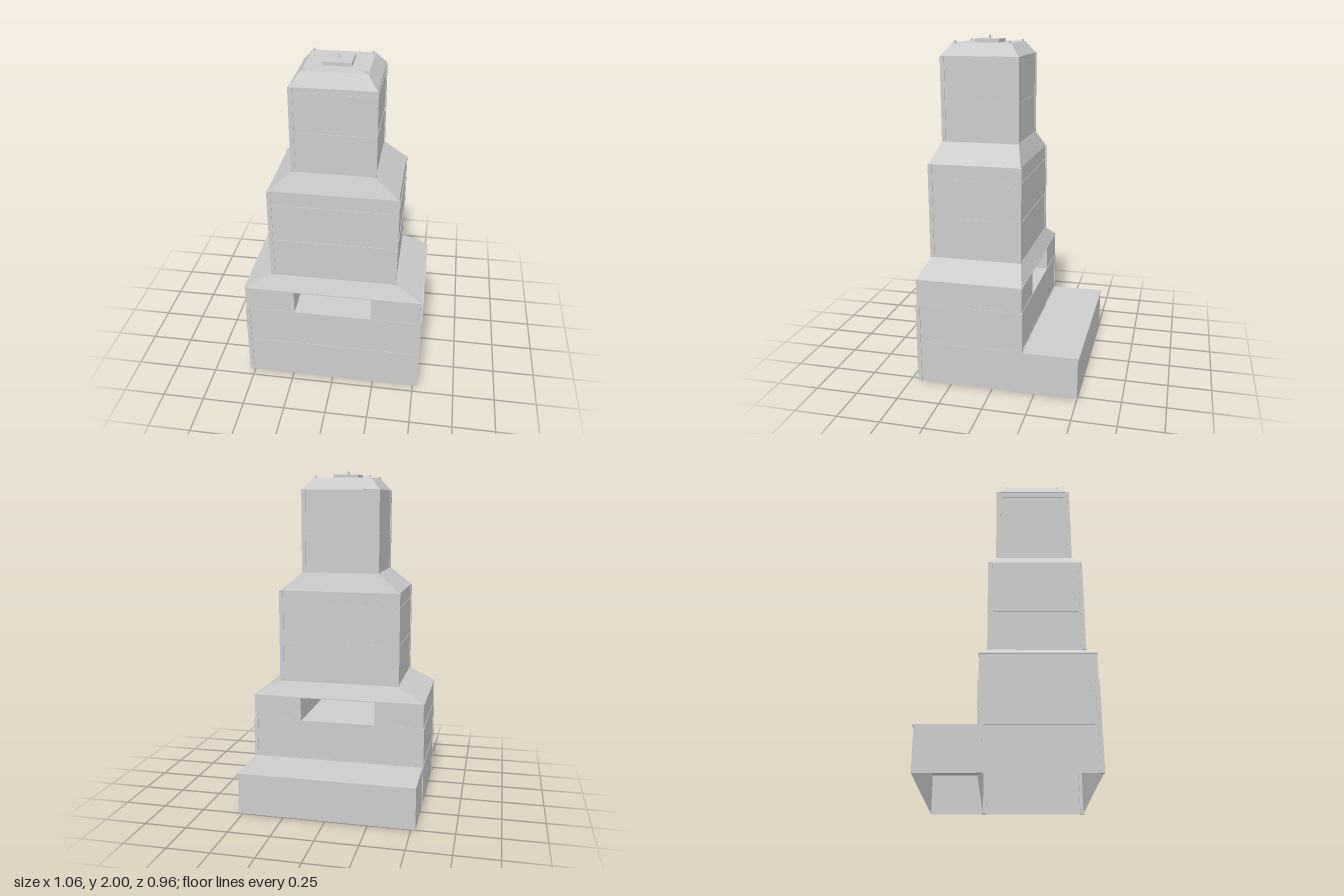
import * as THREE from 'three';

const CZ = 0.1375; // z of the tower axis

export function createModel() {
  const model = new THREE.Group();
  model.name = 'steppedTower';
  const grey = new THREE.MeshStandardMaterial({ color: 0xcccccc, side: THREE.DoubleSide });
  grey.name = 'paleGrey';

  const add = (name, geometry, x = 0, y = 0, z = CZ) => {
    const mesh = new THREE.Mesh(geometry, grey);
    mesh.name = name;
    mesh.position.set(x, y, z);
    model.add(mesh);
    return mesh;
  };
  // Box given by half widths and a bottom and top height
  const block = (name, hx, hz, y0, y1, x = 0, z = CZ) =>
    add(name, new THREE.BoxGeometry(hx * 2, y1 - y0, hz * 2), x, (y0 + y1) / 2, z);
  // Sloped roof: a box whose top is pulled in
  const slope = (name, hx0, hz0, hx1, hz1, y0, y1) => {
    const g = new THREE.BoxGeometry(2, y1 - y0, 2);
    const p = g.attributes.position;
    for (let i = 0; i < p.count; i++) {
      const top = p.getY(i) > 0;
      p.setX(i, p.getX(i) * (top ? hx1 : hx0));
      p.setZ(i, p.getZ(i) * (top ? hz1 : hz0));
    }
    const flat = g.toNonIndexed();
    flat.computeVertexNormals();
    add(name, flat, 0, (y0 + y1) / 2);
  };
  // Upright panel facing +x or -x
  const sidePanel = (name, x, y0, y1, z0, z1) => {
    const m = add(name, new THREE.PlaneGeometry(z1 - z0, y1 - y0), x, (y0 + y1) / 2, (z0 + z1) / 2);
    m.rotation.y = Math.sign(x) * Math.PI / 2;
  };

  // Base: open underneath, with a notch through front and back
  const HX = 0.525, HZ = 0.3125, EAVE = 0.64, SILL = 0.49, GAP = 0.23;
  const wall = new THREE.Shape([
    [-HX, 0], [HX, 0], [HX, EAVE], [GAP, EAVE], [GAP, SILL], [-GAP, SILL], [-GAP, EAVE], [-HX, EAVE],
  ].map(([x, y]) => new THREE.Vector2(x, y)));
  add('baseFront', new THREE.ShapeGeometry(wall), 0, 0, CZ + HZ);
  add('baseBack', new THREE.ShapeGeometry(wall), 0, 0, CZ - HZ).rotation.y = Math.PI;
  const passageFloor = add('passageFloor', new THREE.PlaneGeometry(GAP * 2, HZ * 2), 0, SILL);
  passageFloor.rotation.x = -Math.PI / 2;
  for (const s of [-1, 1]) {
    sidePanel('baseSide', s * HX, 0, EAVE, CZ - HZ, CZ + HZ);
    sidePanel('passageSide', s * GAP, SILL, EAVE, CZ - HZ, CZ + HZ);
  }
  block('eave', 0.529, 0.3155, 0.637, 0.643);

  // Rear annex: open underneath
  const back = -0.5, front = CZ - HZ;
  add('annexBack', new THREE.PlaneGeometry(HX * 2, 0.246), 0, 0.123, back).rotation.y = Math.PI;
  for (const s of [-1, 1]) sidePanel('annexSide', s * HX, 0, 0.246, back, front);
  block('annexRoof', HX, (front - back + 0.006) / 2, 0.244, 0.25, 0, (front + back - 0.006) / 2);

  // Upper tiers and the slopes between them
  slope('lowerSlope', HX, HZ, 0.367, 0.272, 0.643, 0.73);
  block('middleTier', 0.365, 0.27, 0.73, 1.29);
  slope('upperSlope', 0.365, 0.27, 0.235, 0.23, 1.29, 1.4);
  block('topTier', 0.231, 0.226, 1.4, 1.89);
  slope('roof', 0.233, 0.228, 0.175, 0.172, 1.89, 1.96);

  // Corner posts and thin horizontal bands on every tier
  const tiers = [
    { hx: HX, hz: HZ, y0: 0, y1: 0.49, bands: [0.25, 0.49] },
    { hx: 0.365, hz: 0.27, y0: 0.73, y1: 1.29, bands: [0.97, 1.2] },
    { hx: 0.231, hz: 0.226, y0: 1.4, y1: 1.89, bands: [1.63, 1.855] },
  ];
  for (const { hx, hz, y0, y1, bands } of tiers) {
    for (const sx of [-1, 1]) for (const sz of [-1, 1]) {
      block('cornerPost', 0.012, 0.012, y0, y1, sx * (hx - 0.007), CZ + sz * (hz - 0.007));
    }
    for (const y of bands) for (const s of [-1, 1]) {
      block('frontBand', hx - 0.03, 0.002, y - 0.004, y + 0.004, 0, CZ + s * (hz + 0.001));
      block('sideBand', 0.002, hz - 0.03, y - 0.004, y + 0.004, s * (hx + 0.001));
    }
  }

  // Rooftop hatch, mast and corner lamps
  block('roofHatch', 0.077, 0.074, 1.96, 1.98);
  block('mast', 0.005, 0.005, 1.98, 2);
  for (const sx of [-1, 1]) for (const sz of [-1, 1]) {
    block('cornerLamp', 0.006, 0.006, 1.958, 1.972, sx * 0.165, CZ + sz * 0.161);
  }
  return model;
}
